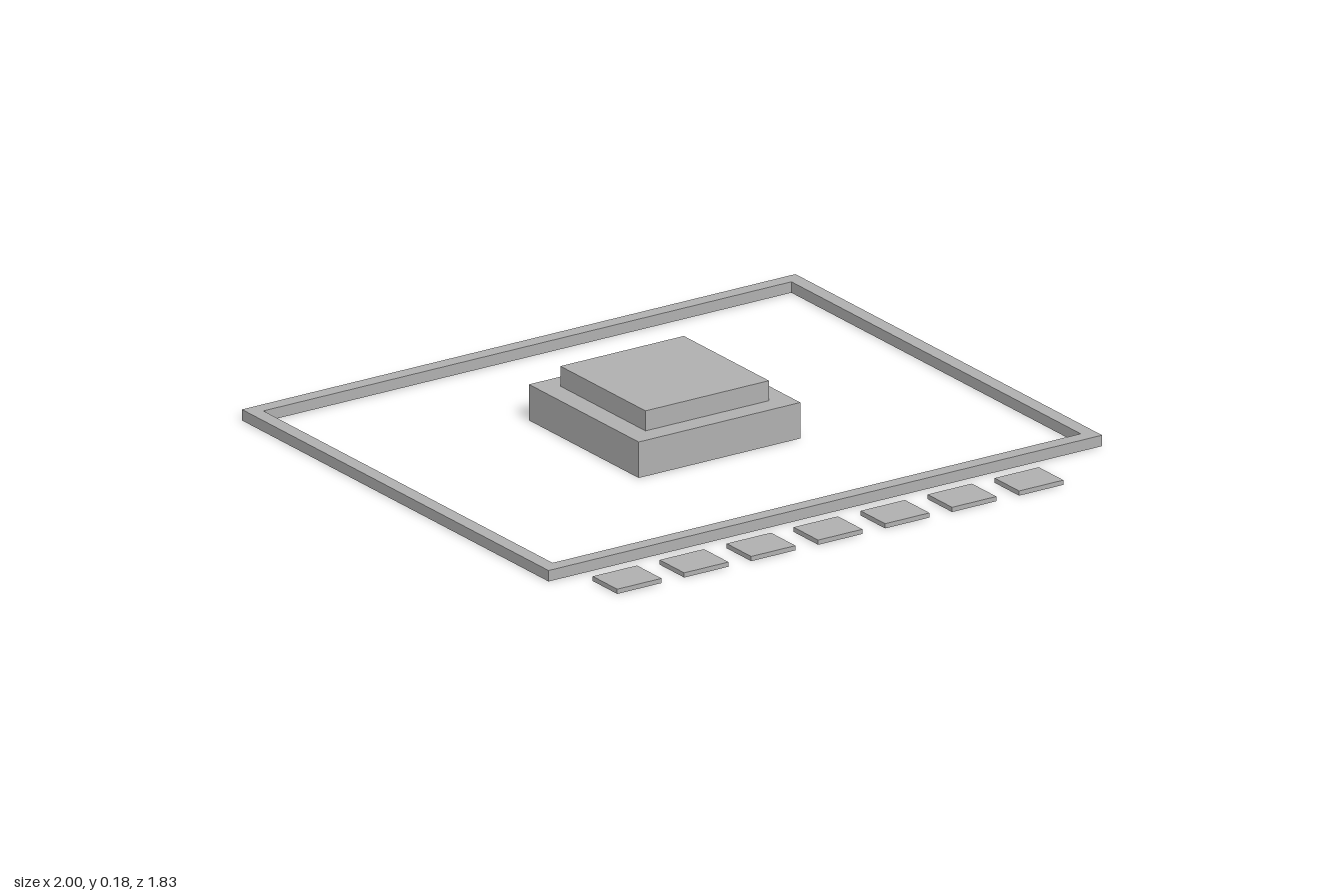
import * as THREE from 'three';

export function createModel() {
  const model = new THREE.Group();
  const grey = new THREE.MeshStandardMaterial({ color: 0xb0b0b0 });
  grey.name = 'plain grey';

  // Box given by its size, its base height and its centre on the ground plane
  const addBox = (name, w, h, d, x, base, z, parent = model) => {
    const mesh = new THREE.Mesh(new THREE.BoxGeometry(w, h, d), grey);
    mesh.name = name;
    mesh.position.set(x, base + h / 2, z);
    parent.add(mesh);
  };

  // Rectangular border: an outline with a hole, extruded upwards
  const rectangle = (T, w, d) => new T([
    new THREE.Vector2(-w / 2, -d / 2), new THREE.Vector2(w / 2, -d / 2),
    new THREE.Vector2(w / 2, d / 2), new THREE.Vector2(-w / 2, d / 2),
  ]);
  const outline = rectangle(THREE.Shape, 2, 1.624);
  outline.holes.push(rectangle(THREE.Path, 1.908, 1.532));
  const border = new THREE.Mesh(
    new THREE.ExtrudeGeometry(outline, { depth: 0.035, bevelEnabled: false }).rotateX(-Math.PI / 2),
    grey,
  );
  border.name = 'border';
  border.position.z = -0.101;
  model.add(border);

  // Two-tier central platform
  const platform = new THREE.Group();
  platform.name = 'platform';
  model.add(platform);
  addBox('lowerTier', 0.584, 0.115, 0.581, 0, 0, -0.14, platform);
  addBox('upperTier', 0.446, 0.064, 0.451, 0, 0.115, -0.14, platform);

  // Row of seven paving slabs in front of the border
  const slabs = new THREE.Group();
  slabs.name = 'slabs';
  model.add(slabs);
  for (let i = 0; i < 7; i++) {
    addBox(`slab${i + 1}`, 0.16, 0.015, 0.13, -0.809 + i * 0.242, 0, 0.847, slabs);
  }

  return model;
}
